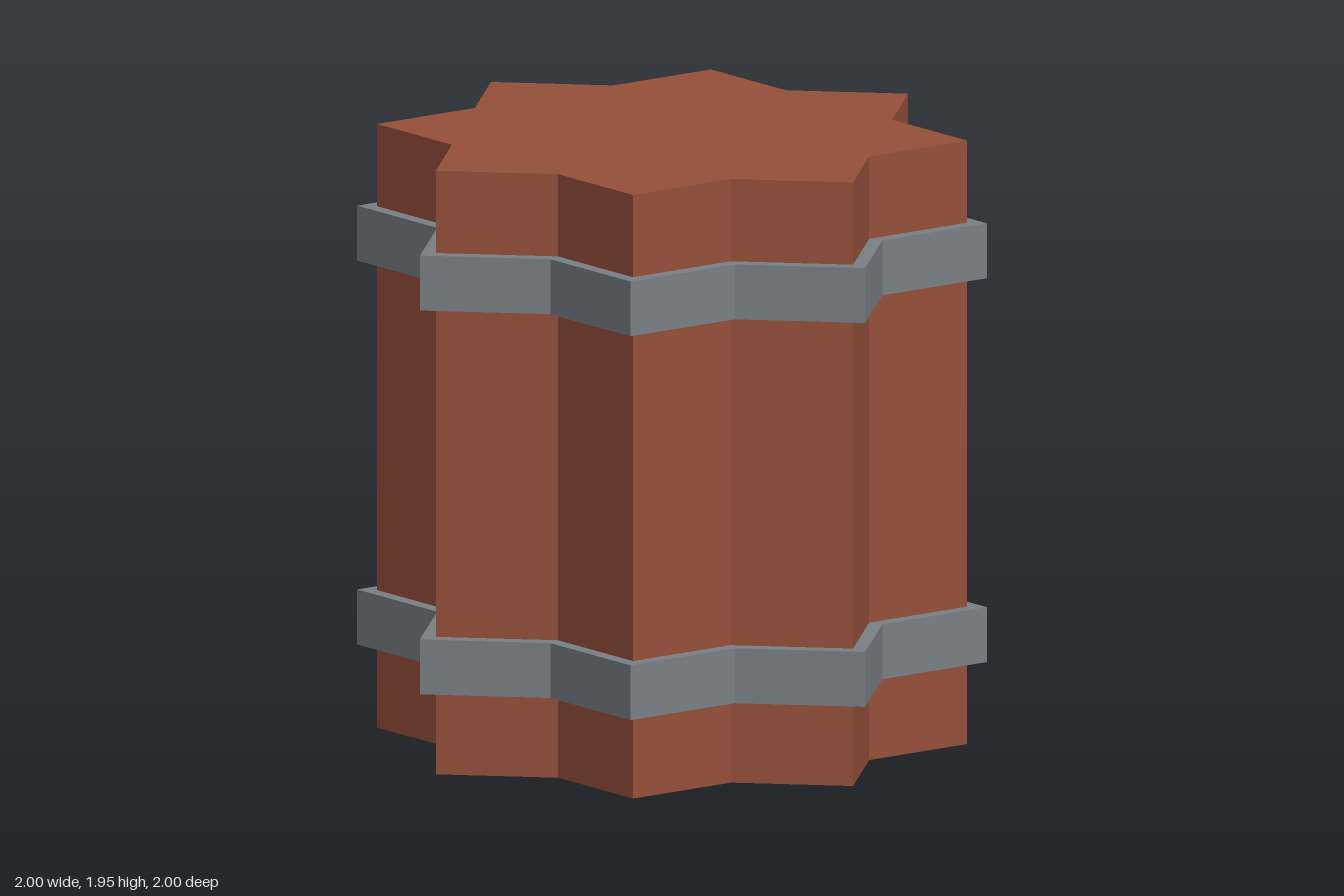
import * as THREE from 'three';

const INNER_RATIO = 0.7654; // eight-pointed star made of two crossed squares

// Corners of the star, with points on both axes
function starPoints(radius) {
  const points = [];
  for (let i = 0; i < 16; i++) {
    const r = i % 2 ? radius * INNER_RATIO : radius;
    const a = (i * Math.PI) / 8;
    points.push(new THREE.Vector2(r * Math.cos(a), r * Math.sin(a)));
  }
  return points;
}

// Upright star prism from y = bottom to y = top, optionally hollow
function starPrism(name, radius, bottom, top, material, holeRadius = 0) {
  const shape = new THREE.Shape(starPoints(radius));
  if (holeRadius) shape.holes.push(new THREE.Path(starPoints(holeRadius)));
  const geometry = new THREE.ExtrudeGeometry(shape, { depth: top - bottom, bevelEnabled: false });
  geometry.rotateX(-Math.PI / 2);
  geometry.translate(0, bottom, 0);
  const mesh = new THREE.Mesh(geometry, material);
  mesh.name = name;
  return mesh;
}

export function createModel() {
  const wood = new THREE.MeshStandardMaterial({ color: 0x96503a });
  wood.name = 'reddish brown wood';
  const iron = new THREE.MeshStandardMaterial({ color: 0x798084 });
  iron.name = 'grey iron';

  const model = new THREE.Group();
  model.name = 'starBarrel';

  // Solid body
  model.add(starPrism('body', 0.937, 0, 1.945, wood));

  // Bands, seated slightly into the body
  model.add(starPrism('lowerBand', 1, 0.266, 0.443, iron, 0.92));
  model.add(starPrism('upperBand', 1, 1.503, 1.68, iron, 0.92));

  return model;
}
